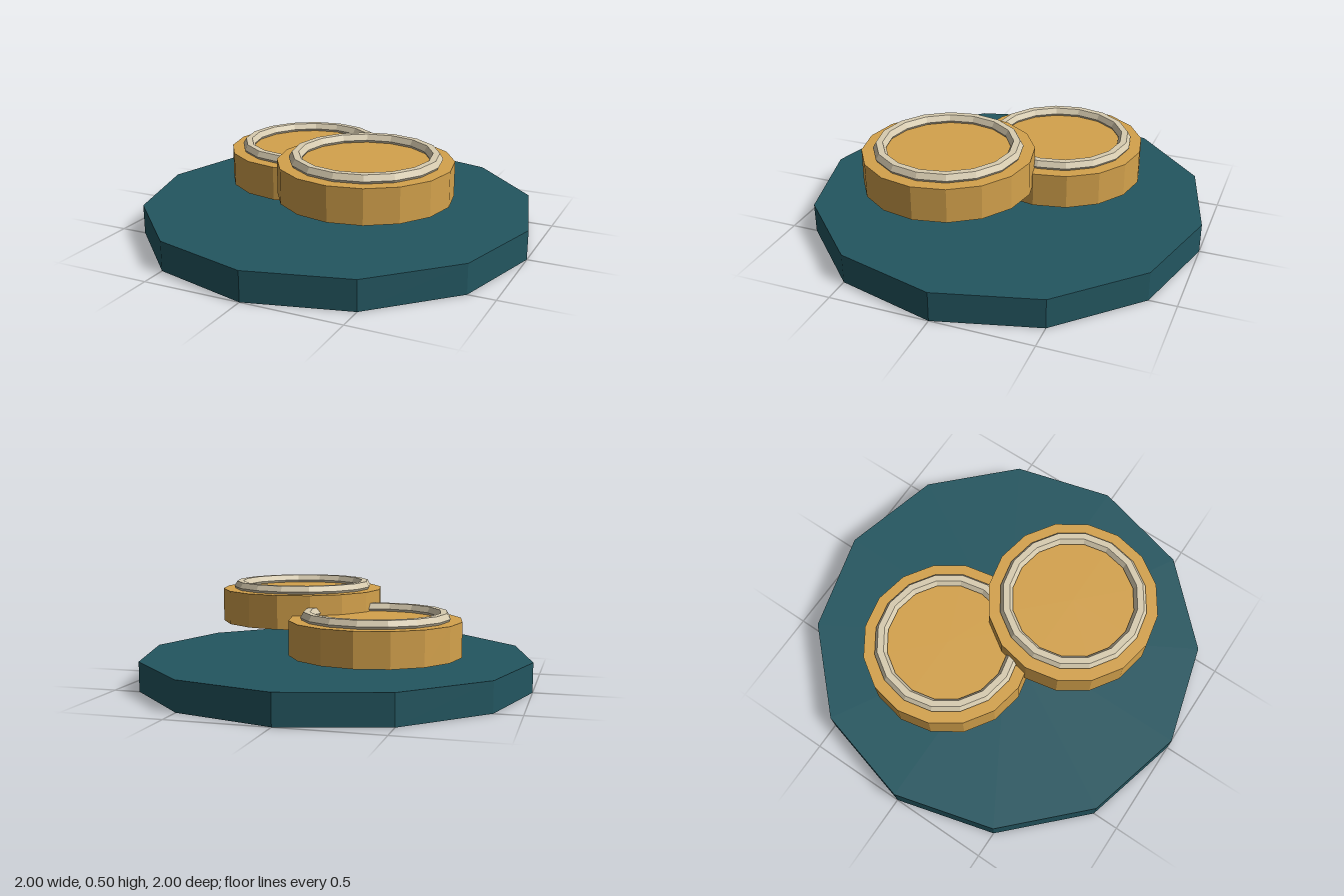
import * as THREE from 'three';

const material = (name, color) => {
  const m = new THREE.MeshStandardMaterial({ color, flatShading: true });
  m.name = name;
  return m;
};

export function createModel() {
  const teal = material('dark teal', 0x235660);
  const gold = material('gold', 0xd4a24c);
  const cream = material('pale cream', 0xd8ccb0);

  const model = new THREE.Group();
  model.name = 'tokensOnBase';
  const add = (parent, name, geometry, mat, y) => {
    const mesh = new THREE.Mesh(geometry, mat);
    mesh.name = name;
    mesh.position.y = y;
    parent.add(mesh);
  };

  // Twelve-sided base slab
  add(model, 'base', new THREE.CylinderGeometry(1, 1, 0.15, 12), teal, 0.075);

  // Thick disc with a raised ring, used for both tokens
  const discGeometry = new THREE.CylinderGeometry(0.425, 0.425, 0.172, 16);
  const ringGeometry = new THREE.TorusGeometry(0.336, 0.032, 6, 16).rotateX(-Math.PI / 2);
  const addToken = (name, x, y, z) => {
    const token = new THREE.Group();
    token.name = name;
    token.position.set(x, y, z);
    add(token, 'disc', discGeometry, gold, 0.086);
    add(token, 'raisedRing', ringGeometry, cream, 0.184);
    model.add(token);
  };

  addToken('lowerToken', -0.252, 0.19, -0.188);
  addToken('upperToken', 0.25, 0.291, 0.226);

  return model;
}
